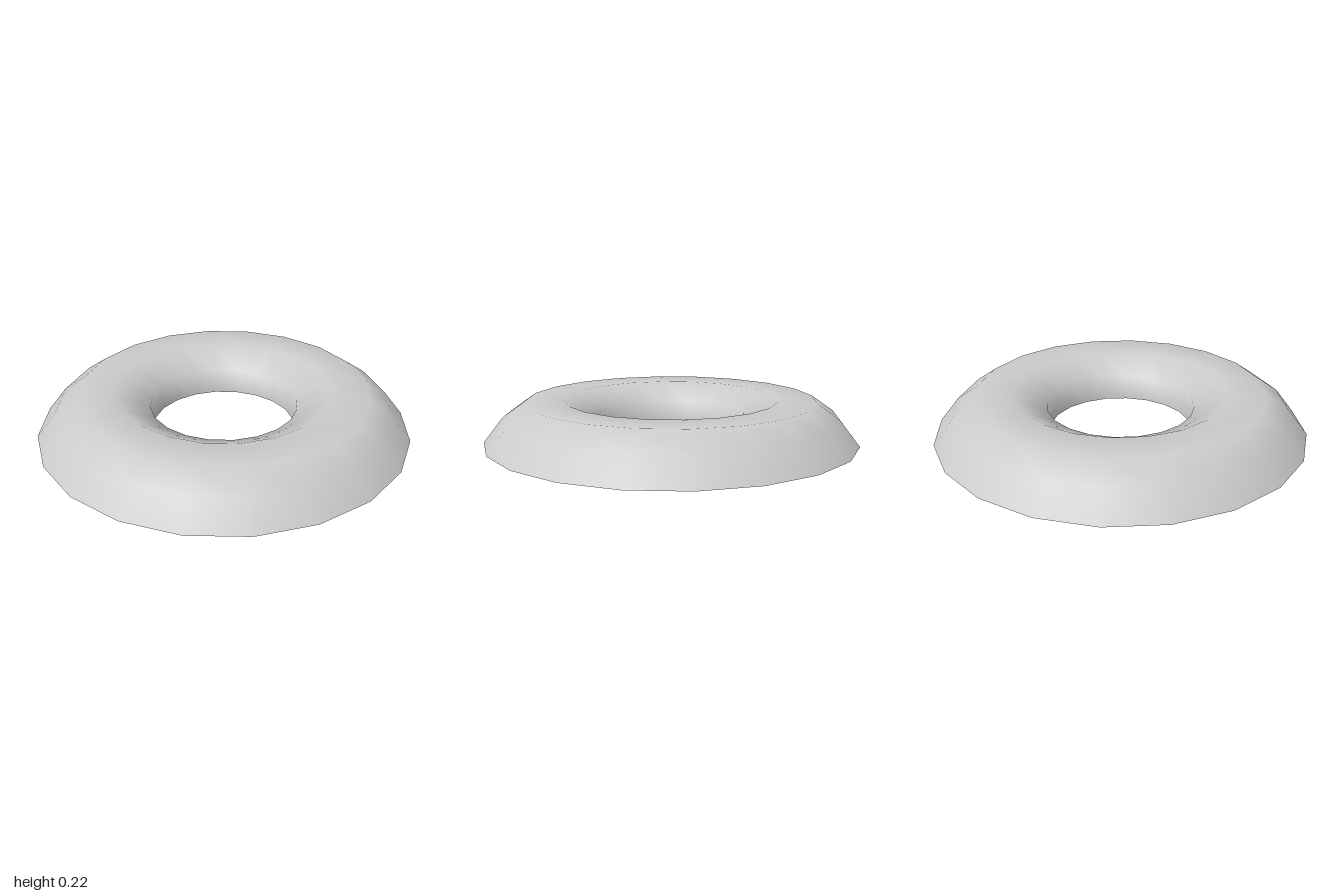
import * as THREE from 'three';

const SIDES = 20;
const OUTER = 1, INNER = 0.385;

export function createModel() {
  const group = new THREE.Group();
  group.name = 'ring';
  const material = new THREE.MeshStandardMaterial({ color: 0xcccccc });

  // Rounded upper surface: outer rim, over the top, down into the hole
  const profile = [
    [OUTER, 0], [0.895, 0.135], [0.775, 0.22], [0.57, 0.22], [0.395, 0.135], [INNER, 0],
  ].map(([r, y]) => new THREE.Vector2(r, y));
  const body = new THREE.Mesh(new THREE.LatheGeometry(profile, SIDES), material);
  body.name = 'ringBody';

  // Flat underside, with a sharp edge against the body
  const base = new THREE.Mesh(new THREE.RingGeometry(INNER, OUTER, SIDES).rotateX(Math.PI / 2), material);
  base.name = 'flatBase';

  group.add(body, base);
  return group;
}
